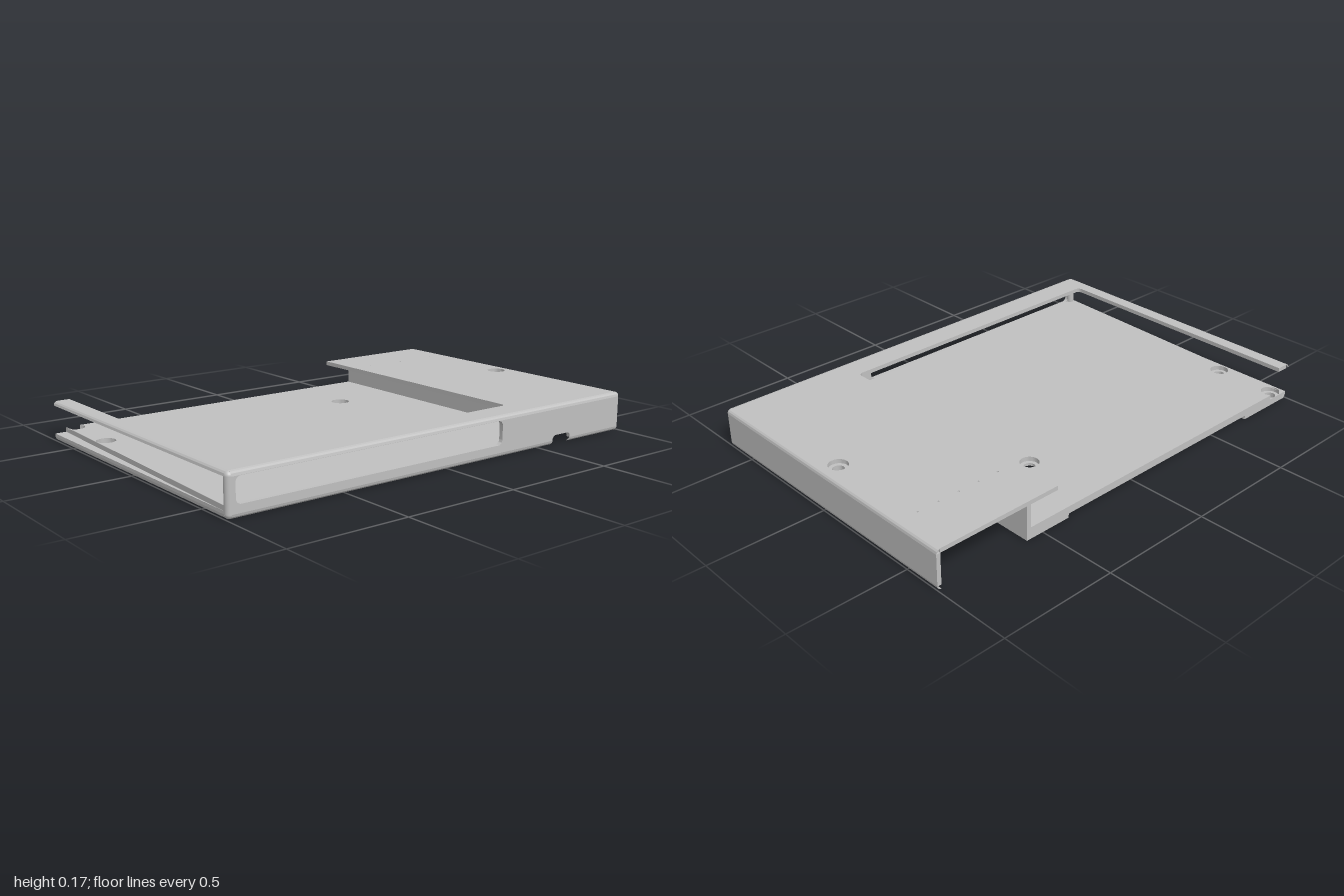
import * as THREE from 'three';
import { toCreasedNormals } from 'three/addons/utils/BufferGeometryUtils.js';

const R = 0.018;               // outer edge radius and shell thickness
const H = 0.168;               // total height
const X = 1 - R, F = 0.665 - R, BACK = -0.665;
const LEVEL_FLOOR = 0.05;

export function createModel() {
  const group = new THREE.Group();
  const grey = new THREE.MeshStandardMaterial({ color: 0xc0c0c0 });
  grey.name = 'light grey';

  const add = (name, geo) => {
    const mesh = new THREE.Mesh(geo, grey);
    mesh.name = name;
    group.add(mesh);
    return mesh;
  };
  const poly = (pts) => new THREE.Shape(pts.map((p) => new THREE.Vector2(...p)));
  const punch = (shape, holes) => {
    for (const [x, y, r] of holes) {
      shape.holes.push(new THREE.Path().absarc(x, y, r, 0, Math.PI * 2, true));
    }
    return shape;
  };
  const extrude = (shape, depth) => toCreasedNormals(
    new THREE.ExtrudeGeometry(shape, { depth, bevelEnabled: false, curveSegments: 12 }), Math.PI / 5);
  // horizontal slab: shape is drawn in x and z
  const slab = (name, shape, y0, y1) =>
    add(name, extrude(shape, y1 - y0).rotateX(Math.PI / 2).translate(0, y1, 0));
  const box = (name, x0, x1, y0, y1, z0, z1) =>
    add(name, new THREE.BoxGeometry(x1 - x0, y1 - y0, z1 - z0)
      .translate((x0 + x1) / 2, (y0 + y1) / 2, (z0 + z1) / 2));
  const rounded = (x0, y0, x1, y1, r) => {
    const p = new THREE.Path();
    p.absarc(x1 - r, y1 - r, r, 0, Math.PI / 2);
    p.absarc(x0 + r, y1 - r, r, Math.PI / 2, Math.PI);
    p.absarc(x0 + r, y0 + r, r, Math.PI, Math.PI * 1.5);
    p.absarc(x1 - r, y0 + r, r, Math.PI * 1.5, Math.PI * 2);
    p.closePath();
    return p;
  };
  // quarter-round edge strip, running along +z
  const quarter = (start, length) => {
    const s = new THREE.Shape();
    s.moveTo(0, 0);
    s.absarc(0, 0, R, start, start + Math.PI / 2);
    s.closePath();
    return extrude(s, length);
  };

  // screw positions (x, z)
  const floorScrews = [[-0.92, -0.36], [0.255, -0.34]];
  const edgeScrew = [-0.92, -0.64];
  const lidScrew = [0.92, 0];
  const bore = 0.024, sink = 0.04;

  // top cover, open at the back over the bay
  const top = new THREE.Shape();
  const c = 0.02;
  top.moveTo(-X, BACK);
  top.lineTo(-0.93, BACK);
  top.lineTo(-0.93, 0.54 - c);
  top.absarc(-0.93 + c, 0.54 - c, c, Math.PI, Math.PI / 2, true);
  top.absarc(0.425 - c, 0.54 - c, c, Math.PI / 2, 0, true);
  top.lineTo(0.425, BACK);
  top.lineTo(X, BACK);
  top.lineTo(X, F);
  top.lineTo(-X, F);
  top.closePath();
  const lights = [0, 1, 2, 3, 4].map((i) => [0.52 + i * 0.095, -0.445, 0.004]);
  slab('topCover', punch(top, [[...lidScrew, sink], ...lights]), H - R, H);

  // rounded edges along the sides and front
  const sideLength = F - BACK;
  for (const [name, side, y, start] of [
    ['rightTopEdge', 1, H - R, 0], ['leftTopEdge', -1, H - R, Math.PI / 2],
    ['leftBottomEdge', -1, R, Math.PI], ['rightBottomEdge', 1, R, Math.PI * 1.5]]) {
    add(name, quarter(start, sideLength).translate(side * X, y, BACK));
  }
  for (const [x0, x1, y, start] of [
    [-X, X, H - R, Math.PI / 2], [-X, 0.58, R, Math.PI], [0.685, X, R, Math.PI]]) {
    add('frontEdge', quarter(start, x1 - x0).rotateY(Math.PI / 2).translate(x0, y, F));
  }
  for (const side of [-1, 1]) {
    add('cornerPost', new THREE.CapsuleGeometry(R, H - 2 * R, 6, 24).translate(side * X, H / 2, F));
  }

  // front wall with long slot and a cable notch at the bottom
  const front = new THREE.Shape();
  const n = 0.04, nr = 0.018;
  front.moveTo(-X, R);
  front.lineTo(0.58, R);
  front.absarc(0.58 + nr, n - nr, nr, Math.PI, Math.PI / 2, true);
  front.absarc(0.685 - nr, n - nr, nr, Math.PI / 2, 0, true);
  front.lineTo(0.685, R);
  front.lineTo(X, R);
  front.lineTo(X, H - R);
  front.lineTo(-X, H - R);
  front.closePath();
  front.holes.push(rounded(-0.966, LEVEL_FLOOR, 0.285, H - R - 0.001, 0.022));
  add('frontWall', extrude(front, R).translate(0, 0, F));

  // right wall, divider and screw boss of the open-bottomed side compartment
  box('rightWall', X, 1, R, H - R, BACK, F);
  box('divider', 0.56, 0.58, 0, H - R, BACK, F);
  slab('screwBoss', punch(
    poly([[0.85, -0.07], [0.99, -0.07], [0.99, 0.07], [0.85, 0.07]]),
    [[...lidScrew, bore]]), 0, H - R);

  // floor, bottom layer: shallow recess open at the back
  const base = poly([[-X, BACK], [-0.71, BACK], [-0.71, -0.25], [0.365, -0.25],
    [0.365, BACK], [0.57, BACK], [0.57, F], [-X, F]]);
  slab('floorBottom', punch(base, [[...floorScrews[0], bore], [...edgeScrew, bore]]), 0, R);

  // floor, middle layer: screw holes and two small sockets
  const middle = poly([[-1, BACK], [0.57, BACK], [0.57, F], [-1, F]]);
  slab('floorMiddle', punch(middle, [
    ...floorScrews.map((p) => [...p, bore]), [...edgeScrew, bore],
    [-0.35, -0.635, 0.015], [-0.56, -0.635, 0.015]]), R, 0.03);

  // floor, upper layer: wide screw sinks, one cutting the back edge
  const upper = new THREE.Shape();
  const a = Math.asin((BACK - edgeScrew[1]) / sink);
  upper.moveTo(-1, BACK);
  upper.absarc(edgeScrew[0], edgeScrew[1], sink, Math.PI - a, a, true);
  upper.lineTo(0.57, BACK);
  upper.lineTo(0.57, F);
  upper.lineTo(-1, F);
  upper.closePath();
  slab('floorUpper', punch(upper, floorScrews.map((p) => [...p, sink])), 0.03, LEVEL_FLOOR);

  return group;
}
